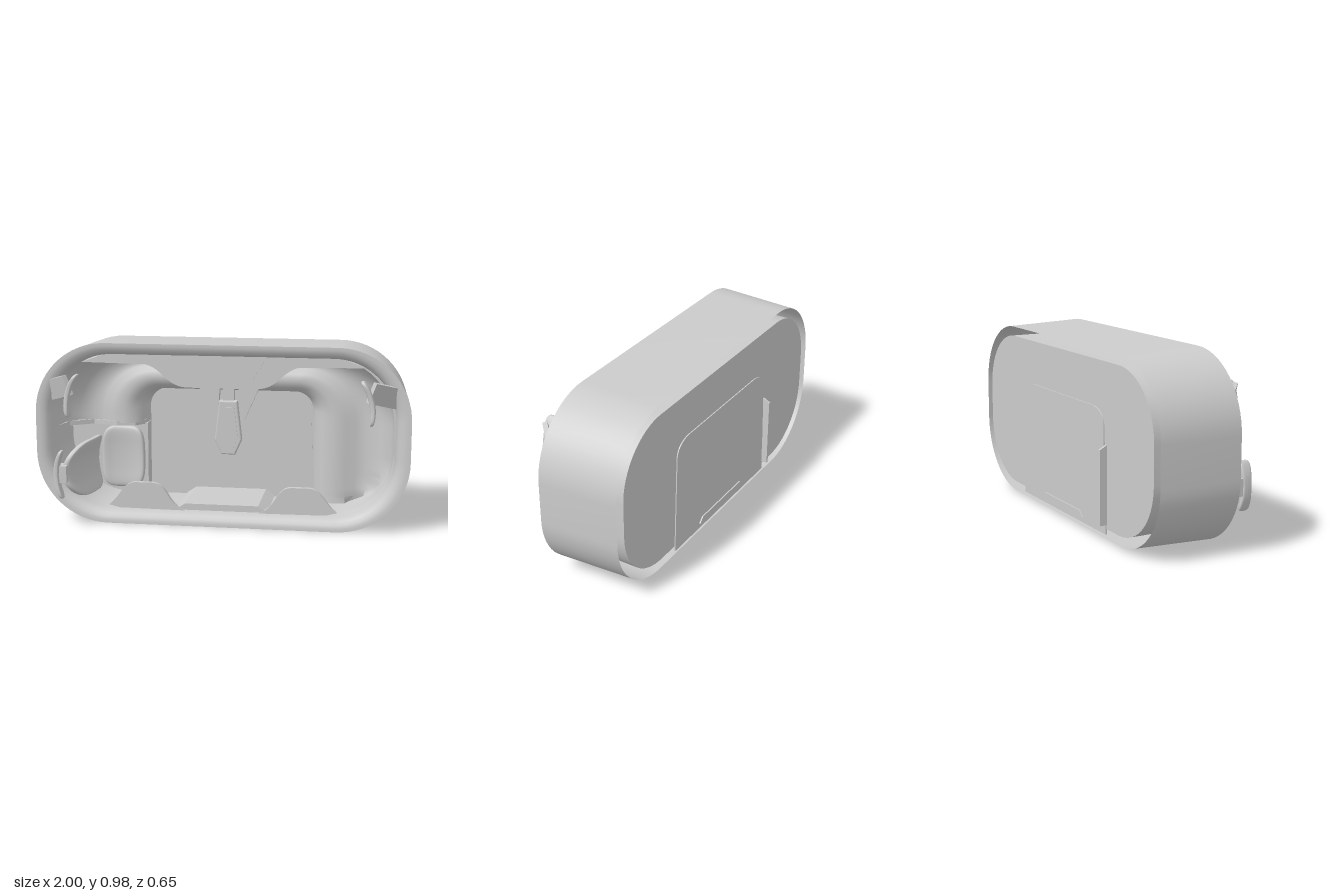
import * as THREE from 'three';
import { toCreasedNormals } from 'three/addons/utils/BufferGeometryUtils.js';

const MAT = new THREE.MeshStandardMaterial({ color: 0xcccccc, side: THREE.DoubleSide });
const CY = 0.4925;

function add(parent, name, geo, x = 0, y = 0, z = 0) {
  const m = new THREE.Mesh(geo, MAT);
  m.name = name;
  m.position.set(x, y, z);
  parent.add(m);
  return m;
}

// Surface through a list of equally long point rows
function loft(rows, crease = 0.6) {
  const n = rows[0].length, pos = [], idx = [];
  rows.forEach(r => r.forEach(p => pos.push(...p)));
  for (let i = 0; i < rows.length - 1; i++) {
    for (let j = 0; j < n - 1; j++) {
      const a = i * n + j, b = a + n;
      idx.push(a, a + 1, b, b, a + 1, b + 1);
    }
  }
  const g = new THREE.BufferGeometry();
  g.setAttribute('position', new THREE.Float32BufferAttribute(pos, 3));
  g.setIndex(idx);
  return toCreasedNormals(g, crease);
}

// Closed rounded-rectangle outline
function ring(hw, hh, r, z) {
  const pts = [];
  for (let c = 0; c < 4; c++) {
    const sx = c === 0 || c === 3 ? 1 : -1, sy = c < 2 ? 1 : -1;
    for (let i = 0; i <= 16; i++) {
      const a = (c + i / 16) * Math.PI / 2;
      pts.push([sx * (hw - r) + r * Math.cos(a), CY + sy * (hh - r) + r * Math.sin(a), z]);
    }
  }
  pts.push([...pts[0]]);
  return pts;
}

// Arch outline, higher on its -x leg, kept within the tub
function arch(hw, top, r, z, leftY = 0.5) {
  const pts = [[-hw, leftY, z]];
  for (let i = 0; i <= 14; i++) {
    const a = Math.PI - i / 14 * Math.PI / 2;
    pts.push([-hw + r + r * Math.cos(a), top - r + r * Math.sin(a), z]);
  }
  for (let i = 0; i <= 14; i++) {
    const a = Math.PI / 2 - i / 14 * Math.PI / 2;
    pts.push([hw - r + r * Math.cos(a), top - r + r * Math.sin(a), z]);
  }
  for (let i = 1; i <= 12; i++) {
    const y = top - r + (0.085 - top + r) * i / 12;
    const d = Math.max(0, 0.405 - y);
    const limit = 0.58 + Math.sqrt(0.33 * 0.33 - d * d);
    pts.push([Math.min(hw, limit), y, z]);
  }
  return pts;
}

function plate(points, depth, bevel = 0) {
  const s = new THREE.Shape(points.map(p => new THREE.Vector2(...p)));
  return new THREE.ExtrudeGeometry(s, { depth, bevelEnabled: bevel > 0, bevelSize: bevel, bevelThickness: bevel, bevelSegments: 3 });
}

// Rounded cushion: a squashed sphere made boxy, then bent by a rule
function cushion(w, h, d, bend) {
  const g = new THREE.SphereGeometry(1, 32, 24), p = g.attributes.position;
  const sq = v => Math.sign(v) * Math.pow(Math.abs(v), 0.5);
  for (let i = 0; i < p.count; i++) {
    const v = [sq(p.getX(i)) * w / 2, sq(p.getY(i)) * h / 2, sq(p.getZ(i)) * d / 2];
    p.setXYZ(i, ...bend(...v));
  }
  g.computeVertexNormals();
  return g;
}

// Curved pad with a narrow waist
function pad(h, d, curve) {
  return cushion(0.028, h, d, (x, y, z) => {
    const t = 2 * y / h;
    return [x + curve * t * t, y, z * (0.68 + 0.32 * t * t)];
  });
}

export function createModel() {
  const g = new THREE.Group();
  g.name = 'capsuleCabin';

  // Outer shell, rounded lip and inner tub
  add(g, 'outerShell', loft([ring(0.978, 0.476, 0.37, -0.285), ring(1, 0.491, 0.385, 0.15)]));
  const lip = [[0, 0.15], [0.02, 0.15], [0.042, 0.145], [0.062, 0.132], [0.074, 0.112], [0.08, 0.085], [0.08, -0.285]];
  add(g, 'lipAndTub', loft(lip.map(([o, z]) => ring(1 - o, 0.491 - o * 0.83, 0.385 - o * 0.7, z))));
  const back = new THREE.Shape(ring(0.92, 0.4246, 0.329, 0).map(p => new THREE.Vector2(p[0], p[1])));
  add(g, 'backPanel', new THREE.ShapeGeometry(back), 0, 0, -0.285);

  // Recessed bay showing through on the back
  const bay = new THREE.Shape();
  bay.moveTo(-0.47, 0.04);
  bay.lineTo(-0.45, 0.58);
  bay.quadraticCurveTo(-0.45, 0.67, -0.34, 0.68);
  bay.lineTo(0.34, 0.68);
  bay.quadraticCurveTo(0.45, 0.67, 0.45, 0.58);
  bay.lineTo(0.47, 0.04);
  add(g, 'bayPanel', new THREE.ExtrudeGeometry(bay, { depth: 0.01, bevelEnabled: false }), 0, 0, -0.291);
  const fin = plate([[0.28, 0.09], [0.325, 0.09], [0.325, 0.48], [0.28, 0.505]], 0.014);
  add(g, 'backFin', fin, -0.462, 0, 0).rotation.y = Math.PI / 2;
  g.getObjectByName('backFin').position.x = -0.476;
  add(g, 'backStep', plate([[-0.23, 0.07], [0.23, 0.07], [0.2, 0.1], [-0.2, 0.1]], 0.02), 0, 0, -0.298);

  // Wraparound upholstery
  const cove = [
    [0.91, 0.92, 0.36, 0.04], [0.895, 0.905, 0.36, -0.06], [0.84, 0.88, 0.34, -0.13],
    [0.76, 0.85, 0.3, -0.16], [0.7, 0.825, 0.27, -0.155], [0.65, 0.795, 0.24, -0.13],
    [0.58, 0.755, 0.19, -0.12], [0.52, 0.72, 0.14, -0.14], [0.485, 0.695, 0.11, -0.18],
    [0.465, 0.685, 0.1, -0.23], [0.46, 0.68, 0.1, -0.284]];
  add(g, 'wraparoundSofa', loft(cove.map(c => arch(...c)), 1));
  add(g, 'sideLedge', plate([[-0.91, 0.04], [-0.91, -0.284], [-0.46, -0.284], [-0.47, -0.2],
    [-0.52, -0.14], [-0.62, -0.12], [-0.76, -0.16], [-0.88, -0.08]].map(([x, z]) => [x, -z]), 0.025), 0, 0.485, 0)
    .rotation.x = -Math.PI / 2;
  add(g, 'ledgeSupport', new THREE.BoxGeometry(0.02, 0.4, 0.09), -0.47, 0.29, -0.24);

  // Ceiling fascia with a dropped middle and a centre cover
  const f = new THREE.Shape();
  f.moveTo(-0.62, 0.92);
  f.lineTo(-0.76, 0.87);
  f.lineTo(-0.41, 0.865);
  f.bezierCurveTo(-0.31, 0.84, -0.3, 0.745, -0.18, 0.745);
  f.lineTo(0.18, 0.745);
  f.bezierCurveTo(0.3, 0.745, 0.31, 0.84, 0.41, 0.865);
  f.lineTo(0.76, 0.87);
  f.lineTo(0.62, 0.92);
  add(g, 'ceilingFascia', new THREE.ExtrudeGeometry(f, { depth: 0.16, bevelEnabled: false }), 0, 0, -0.08);
  add(g, 'ceilingCover', plate([[-0.21, 0.93], [-0.13, 0.8], [-0.09, 0.78], [0.12, 0.78], [0.17, 0.8], [0.25, 0.93]], 0.03), 0, 0, 0.07);

  // Hanging bracket and lamp
  const lamp = new THREE.Group();
  lamp.name = 'hangingLamp';
  lamp.position.set(0.025, 0, -0.02);
  g.add(lamp);
  for (const s of [-1, 1]) {
    add(lamp, 'bracketProng', plate([[s * 0.05, 0.75], [s * 0.17, 0.75], [s * 0.085, 0.56], [s * 0.06, 0.56]], 0.04), 0, 0, -0.04);
  }
  add(lamp, 'lampStem', new THREE.BoxGeometry(0.06, 0.12, 0.04), 0, 0.7, 0);
  const hex = k => [[-0.045, 0.16], [0.045, 0.16], [0.07, -0.06], [0.035, -0.14], [-0.035, -0.14], [-0.07, -0.06]].map(([x, y]) => [x * k, y * k]);
  add(lamp, 'lampBody', plate(hex(0.93), 0.025, 0.008), 0, 0.51, 0);
  add(lamp, 'lampFace', plate(hex(0.75), 0.01), 0, 0.51, 0.028);

  // Floor runner and the low humps either side
  add(g, 'floorRunner', plate([[-0.25, 0.075], [0.25, 0.075], [0.2, 0.11], [-0.2, 0.11]], 0.37), 0, 0, -0.28);
  for (const s of [-1, 1]) {
    const h = new THREE.Shape();
    h.moveTo(s * 0.2, 0.072);
    h.bezierCurveTo(s * 0.3, 0.1, s * 0.29, 0.22, s * 0.38, 0.22);
    h.lineTo(s * 0.47, 0.22);
    h.bezierCurveTo(s * 0.54, 0.22, s * 0.56, 0.13, s * 0.62, 0.09);
    h.lineTo(s * 0.56, 0.075);
    add(g, 'floorHump', new THREE.ExtrudeGeometry(h, { depth: 0.025, bevelEnabled: false }), 0, 0, 0.07);
  }

  // Seat on the right-hand side
  const seat = new THREE.Group();
  seat.name = 'seat';
  g.add(seat);
  add(seat, 'seatCushion', cushion(0.24, 0.35, 0.07, (x, y, z) => [x * (1 - 0.6 * y * y), y, z + 2.2 * x * x + 0.6 * y * y]), -0.585, 0.31, -0.16);
  add(seat, 'seatBack', cushion(0.05, 0.3, 0.4, (x, y, z) => {
    const t = z / 0.2;
    return [x - 0.035 * t - 0.025 * t * t + 1.8 * y * y, y * (1 - 0.22 * Math.max(0, t) ** 3), z];
  }), -0.755, 0.3, 0.07);
  add(seat, 'headrest', pad(0.26, 0.072, 0.03), -0.85, 0.3, 0.295);
  add(seat, 'headrestPost', new THREE.BoxGeometry(0.06, 0.09, 0.08), -0.825, 0.3, 0.265);

  // Paired pads on angled arms
  for (const s of [-1, 1]) {
    const p = add(g, 'sidePad', pad(0.235, 0.098, s * -0.025), s * 0.795, 0.718, 0.232);
    p.rotation.z = s * 0.22;
    const arm = add(g, 'padArm', new THREE.BoxGeometry(0.2, 0.11, 0.025), s * 0.86, 0.745, 0.175);
    arm.rotation.set(0, s * 0.75, s * -0.35, 'ZYX');
  }
  return g;
}
